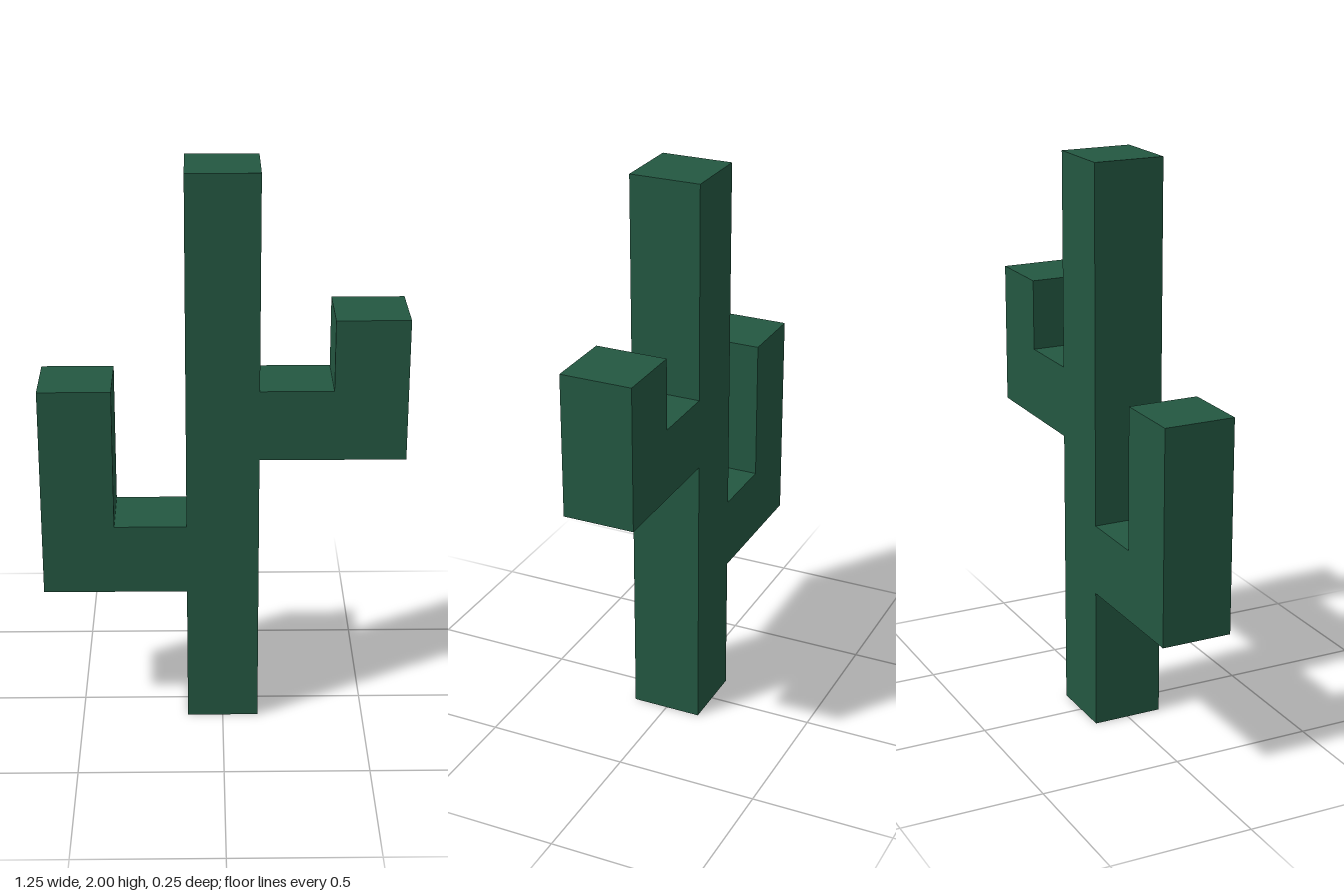
import * as THREE from 'three';

const T = 0.25;      // square thickness of trunk and arms
const H = T / 2;
const REACH = 0.625; // outer side of each arm

// Outline of one arm, listed from its underside up; side is +1 or -1
function armOutline(side, bottom, top) {
  return [
    [H, bottom], [REACH, bottom], [REACH, top],
    [REACH - T, top], [REACH - T, bottom + T], [H, bottom + T],
  ].map(([x, y]) => new THREE.Vector2(side * x, y));
}

export function createModel() {
  const green = new THREE.MeshStandardMaterial({ color: 0x235741 });
  green.name = 'cactus green';

  // Trunk and both elbow arms share one outline, so no faces are buried inside
  const outline = new THREE.Shape([
    new THREE.Vector2(-H, 0),
    new THREE.Vector2(H, 0),
    ...armOutline(1, 1, 1.5),
    new THREE.Vector2(H, 2),
    new THREE.Vector2(-H, 2),
    ...armOutline(-1, 0.5, 1.25).reverse(),
  ]);
  const geometry = new THREE.ExtrudeGeometry(outline, { depth: T, bevelEnabled: false });
  geometry.translate(0, 0, -H);

  const body = new THREE.Mesh(geometry, green);
  body.name = 'trunkAndArms';

  const cactus = new THREE.Group();
  cactus.name = 'cactus';
  cactus.add(body);
  return cactus;
}
